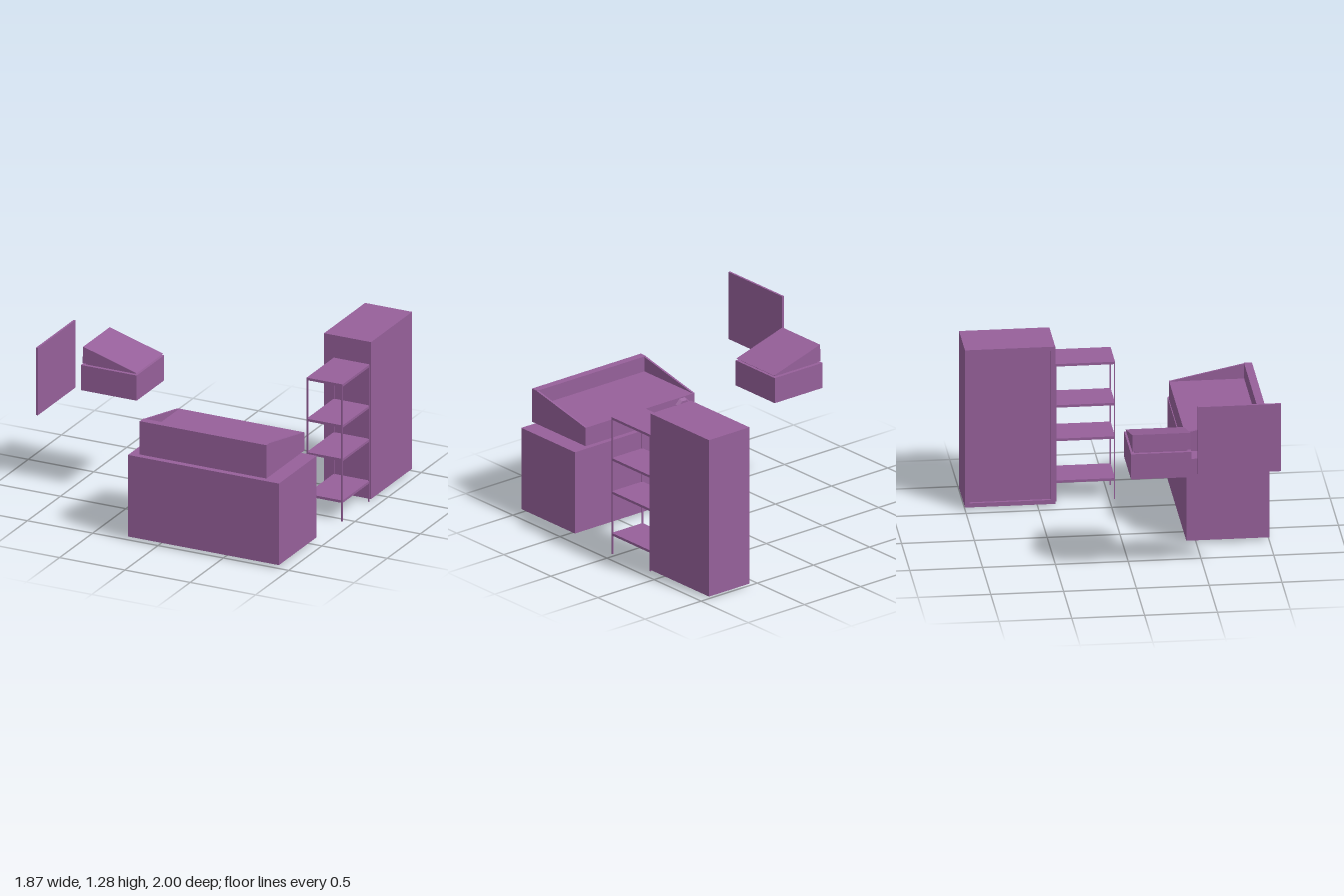
import * as THREE from 'three';

const material = new THREE.MeshStandardMaterial({ color: 0x96609a, flatShading: true });

function add(parent, name, geometry) {
  const mesh = new THREE.Mesh(geometry, material);
  mesh.name = name;
  parent.add(mesh);
  return mesh;
}

// Box given by its lower and upper limits on each axis
function block(parent, name, [x0, x1], [y0, y1], [z0, z1]) {
  const mesh = add(parent, name, new THREE.BoxGeometry(x1 - x0, y1 - y0, z1 - z0));
  mesh.position.set((x0 + x1) / 2, (y0 + y1) / 2, (z0 + z1) / 2);
  return mesh;
}

// Flat outline pushed along its normal
function prism(points, depth) {
  const shape = new THREE.Shape(points.map(([x, y]) => new THREE.Vector2(x, y)));
  return new THREE.ExtrudeGeometry(shape, { depth, bevelEnabled: false });
}

function group(parent, name) {
  const g = new THREE.Group();
  g.name = name;
  parent.add(g);
  return g;
}

export function createModel() {
  const model = new THREE.Group();
  model.name = 'furnitureSet';

  // Large base cabinet
  block(model, 'baseCabinet', [-0.23, 0.925], [0.025, 0.625], [0.43, 1]);

  // Tray above it: flat floor, tall front wall, sloping thin sides, open back
  const tray = group(model, 'tray');
  block(tray, 'trayBody', [-0.14, 0.83], [0.645, 0.78], [0.43, 1]);
  block(tray, 'trayFrontWall', [-0.14, 0.83], [0.78, 0.89], [0.945, 1]);
  for (const x of [-0.14, 0.815]) {
    // Outline drawn in (-z, y), turned so it extrudes along +x
    const side = add(tray, 'traySideWall', prism([[-1, 0.78], [-0.43, 0.78], [-0.96, 0.89], [-1, 0.89]], 0.015));
    side.rotation.y = Math.PI / 2;
    side.position.x = x;
  }
  // Flared knob on the back
  const knob = add(tray, 'knob', new THREE.CylinderGeometry(0.05, 0.065, 0.024, 8));
  knob.geometry.rotateY(Math.PI / 8);
  knob.rotation.x = -Math.PI / 2;
  knob.position.set(-0.03, 0.713, 0.419);

  // Thin upright wall panel
  block(model, 'wallPanel', [-0.935, -0.92], [0.79, 1.285], [0.43, 1]);

  // Floating box with recessed neck and wedge lid
  const box = group(model, 'wedgeBox');
  block(box, 'boxBody', [-0.9, -0.473], [0.76, 0.945], [-0.025, 0.39]);
  block(box, 'boxNeck', [-0.875, -0.495], [0.945, 0.96], [0, 0.365]);
  add(box, 'boxLid', prism([[-0.89, 0.96], [-0.475, 0.96], [-0.885, 1.08]], 0.4)).position.z = -0.015;

  // Open shelf on four thin legs
  const shelf = group(model, 'openShelf');
  for (const y of [0.145, 0.452, 0.698, 1.0]) {
    block(shelf, 'shelfBoard', [0.65, 0.925], [y - 0.009, y + 0.009], [-0.37, 0.04]);
  }
  for (const x of [0.65, 0.915]) {
    for (const z of [-0.37, 0.032]) {
      block(shelf, 'shelfLeg', [x, x + 0.01], [0, 1.0], [z, z + 0.008]);
    }
  }

  // Tall wardrobe with a framed, recessed door on its -x side
  const wardrobe = group(model, 'wardrobe');
  block(wardrobe, 'wardrobeBody', [0.59, 0.93], [0.015, 1.17], [-1, -0.38]);
  const frame = new THREE.Shape([[0.38, 0.015], [1, 0.015], [1, 1.17], [0.38, 1.17]].map(p => new THREE.Vector2(...p)));
  frame.holes.push(new THREE.Path([[0.41, 0.045], [0.41, 1.14], [0.97, 1.14], [0.97, 0.045]].map(p => new THREE.Vector2(...p))));
  const rim = add(wardrobe, 'wardrobeFrame', new THREE.ExtrudeGeometry(frame, { depth: 0.02, bevelEnabled: false }));
  rim.rotation.y = Math.PI / 2;
  rim.position.x = 0.57;

  return model;
}
